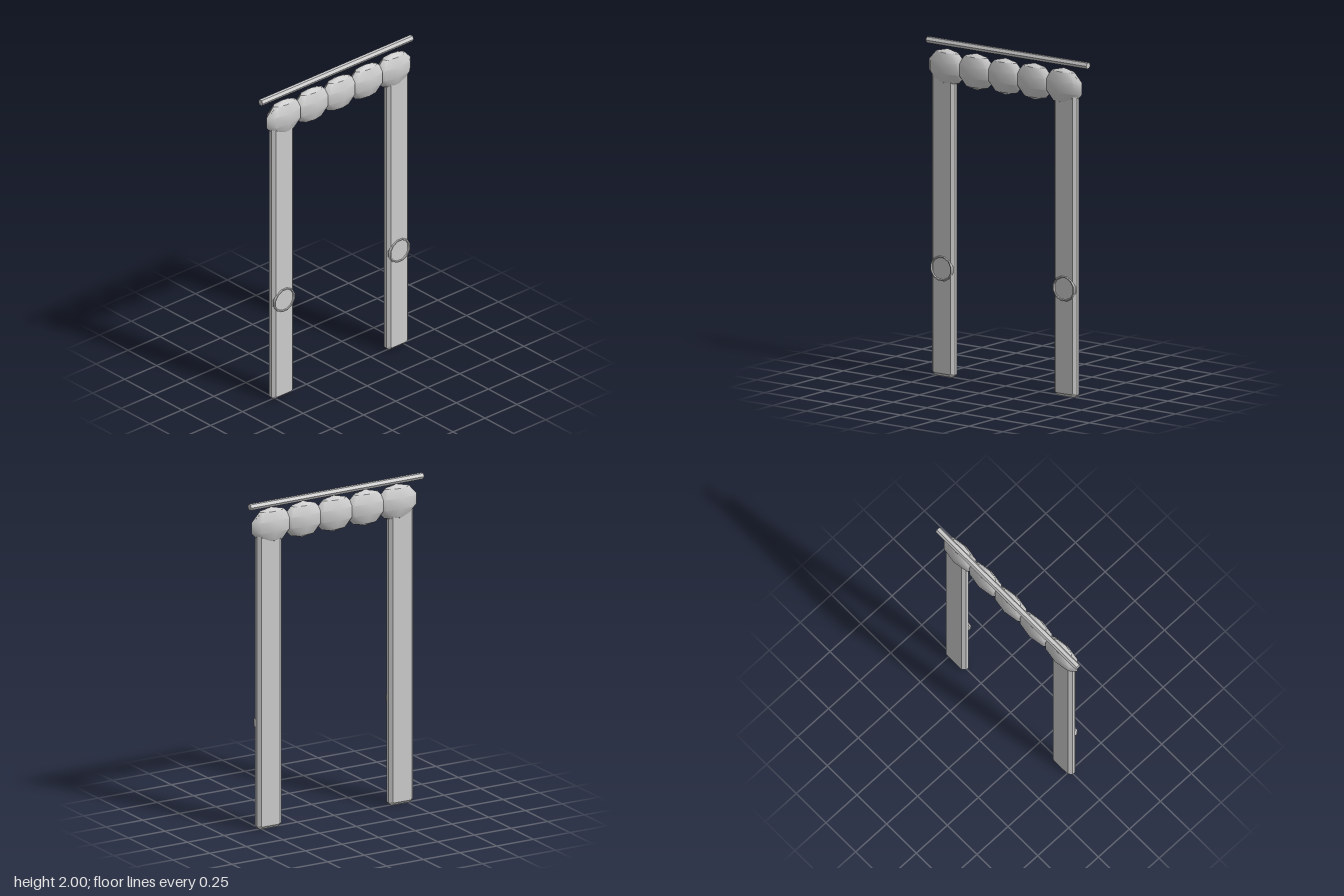
import * as THREE from 'three';
import { toCreasedNormals } from 'three/addons/utils/BufferGeometryUtils.js';

const fabric = new THREE.MeshStandardMaterial({ color: 0xcccccc });
fabric.name = 'pale grey fabric';

function part(name, geometry, x, y, z) {
  const mesh = new THREE.Mesh(geometry, fabric);
  mesh.name = name;
  mesh.position.set(x, y, z);
  return mesh;
}

// Flat panel with chamfered edges, standing on y = 0
function panelGeometry(width, height, depth, bevel) {
  const w = width / 2 - bevel, top = height - bevel, cut = 0.008;
  const shape = new THREE.Shape([
    [-w + cut, bevel], [w - cut, bevel], [w, bevel + cut], [w, top - cut],
    [w - cut, top], [-w + cut, top], [-w, top - cut], [-w, bevel + cut],
  ].map(([x, y]) => new THREE.Vector2(x, y)));
  const core = depth - 2 * bevel;
  return new THREE.ExtrudeGeometry(shape, {
    depth: core, bevelEnabled: true, bevelThickness: bevel, bevelSize: bevel, bevelSegments: 1,
  }).translate(0, 0, -core / 2);
}

export function createModel() {
  const model = new THREE.Group();
  model.name = 'curtains';

  // Six-sided rod, slightly behind the fabric
  const rod = toCreasedNormals(new THREE.CylinderGeometry(0.02, 0.02, 1.18, 6).rotateZ(Math.PI / 2), 0.5);
  model.add(part('curtainRod', rod, 0, 1.983, -0.022));

  // Row of overlapping puffed swags
  const swag = toCreasedNormals(
    new THREE.SphereGeometry(1, 8, 5).scale(0.142, 0.11, 0.055), THREE.MathUtils.degToRad(35));
  for (let i = -2; i <= 2; i++) model.add(part('swag', swag, i * 0.2135, 1.845, 0));

  // Side panels, each with a tie-back ring
  const panel = panelGeometry(0.167, 1.92, 0.058, 0.019);
  const ring = toCreasedNormals(
    new THREE.TorusGeometry(0.073, 0.007, 6, 12).rotateZ(Math.PI / 12).scale(1.04, 0.97, 1.8), 0.6);
  for (const side of [1, -1]) {
    const name = side > 0 ? 'left' : 'right';
    model.add(part(name + 'Panel', panel, side * 0.449, 0, 0));
    model.add(part(name + 'TieBack', ring, side * 0.45, 0.645, 0.025));
  }
  return model;
}
